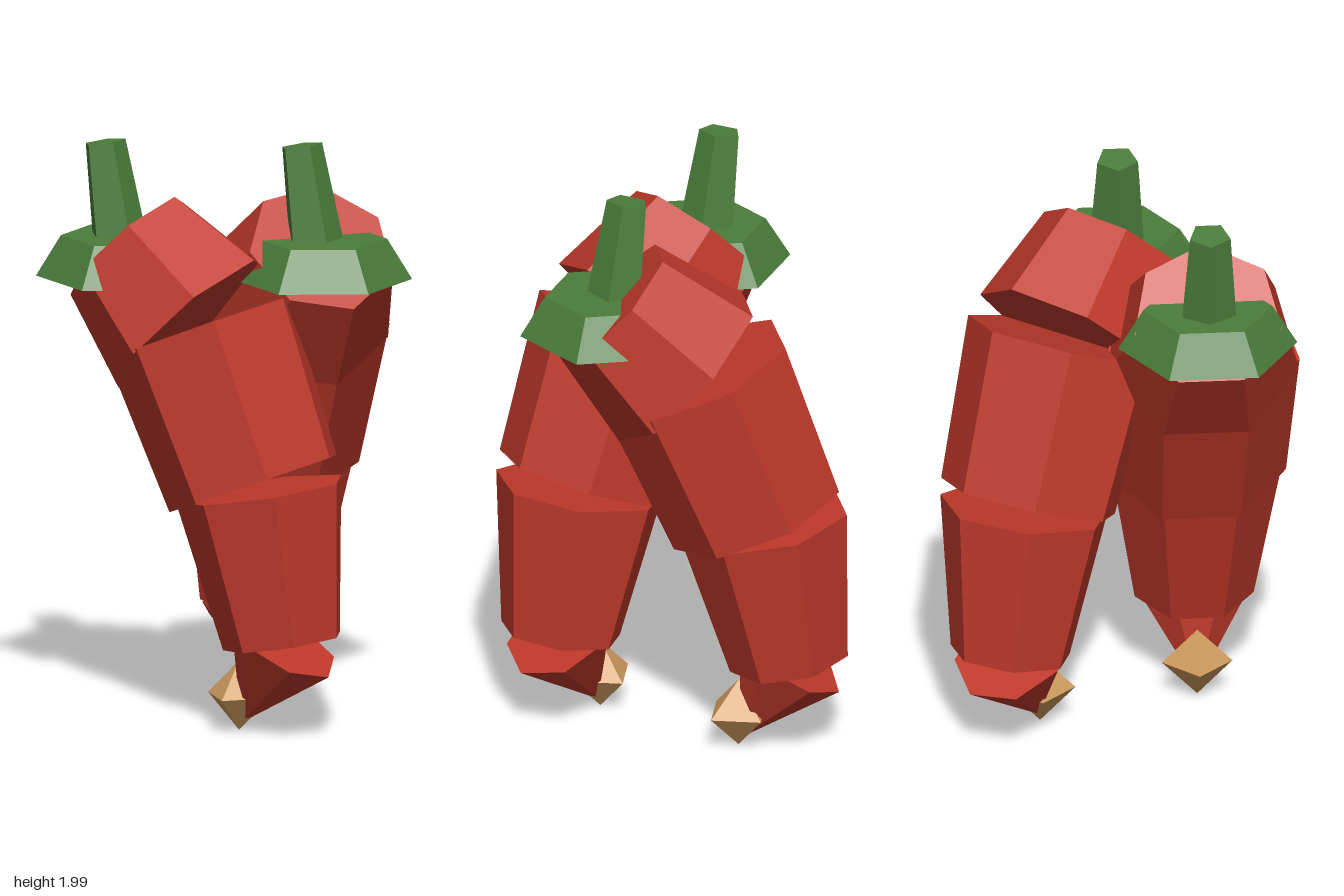
import * as THREE from 'three';

const red = new THREE.MeshStandardMaterial({ color: 0xc0392b });
red.name = 'pepper red';
const green = new THREE.MeshStandardMaterial({ color: 0x4c7e3c });
green.name = 'stem green';
const tan = new THREE.MeshStandardMaterial({ color: 0xd09c60 });
tan.name = 'tip tan';

const UP = new THREE.Vector3(0, 1, 0);

// Faceted copy of a geometry
function facet(geometry) {
  const flat = geometry.index ? geometry.toNonIndexed() : geometry;
  flat.computeVertexNormals();
  return flat;
}

function addMesh(parent, name, geometry, material) {
  const mesh = new THREE.Mesh(facet(geometry), material);
  mesh.name = name;
  parent.add(mesh);
  return mesh;
}

// Tapered prism running from one point to another
function addSegment(parent, name, from, to, r0, r1, sides, material) {
  const dir = to.clone().sub(from);
  const geometry = new THREE.CylinderGeometry(r1, r0, dir.length(), sides).rotateY(-Math.PI / 2);
  const mesh = addMesh(parent, name, geometry, material);
  mesh.position.copy(from).add(to).multiplyScalar(0.5);
  mesh.quaternion.setFromUnitVectors(UP, dir.normalize());
}

// Body segments: [start reach, start y, end reach, end y, start radius, end radius]
const BODY = [
  ['shoulder', 0.01, 1.64, 0.264, 1.394, 0.258, 0.336],
  ['upperBody', 0.295, 1.39, 0.504, 0.866, 0.34, 0.31],
  ['lowerBody', 0.527, 0.844, 0.613, 0.325, 0.295, 0.208],
  ['point', 0.614, 0.32, 0.447, 0.03, 0.2, 0],
];

// One pepper: body curves away from its cap in the given direction around y
function addPepper(parent, name, x, z, bend) {
  const pepper = new THREE.Group();
  pepper.name = name;
  pepper.position.set(x, 0, z);
  parent.add(pepper);
  const at = (reach, y) => new THREE.Vector3(reach * Math.cos(bend), y, -reach * Math.sin(bend));

  for (const [part, d0, y0, d1, y1, r0, r1] of BODY) {
    addSegment(pepper, part, at(d0, y0), at(d1, y1), r0, r1, 7, red);
  }

  // Leafy cap and leaning stem
  addMesh(pepper, 'cap', new THREE.CylinderGeometry(0.22, 0.305, 0.14, 6), green).position.y = 1.605;
  addSegment(pepper, 'stem', new THREE.Vector3(-0.03, 1.66, 0), new THREE.Vector3(-0.083, 1.99, 0),
    0.098, 0.073, 5, green);

  // Pale diamond at the end
  addMesh(pepper, 'tip', new THREE.OctahedronGeometry(0.12), tan).position.copy(at(0.44, 0.125));
}

export function createModel() {
  const model = new THREE.Group();
  model.name = 'chilliPeppers';
  addPepper(model, 'frontPepper', -0.31, 0.28, 0);
  addPepper(model, 'backPepper', 0.306, 0.015, THREE.MathUtils.degToRad(140));
  return model;
}
